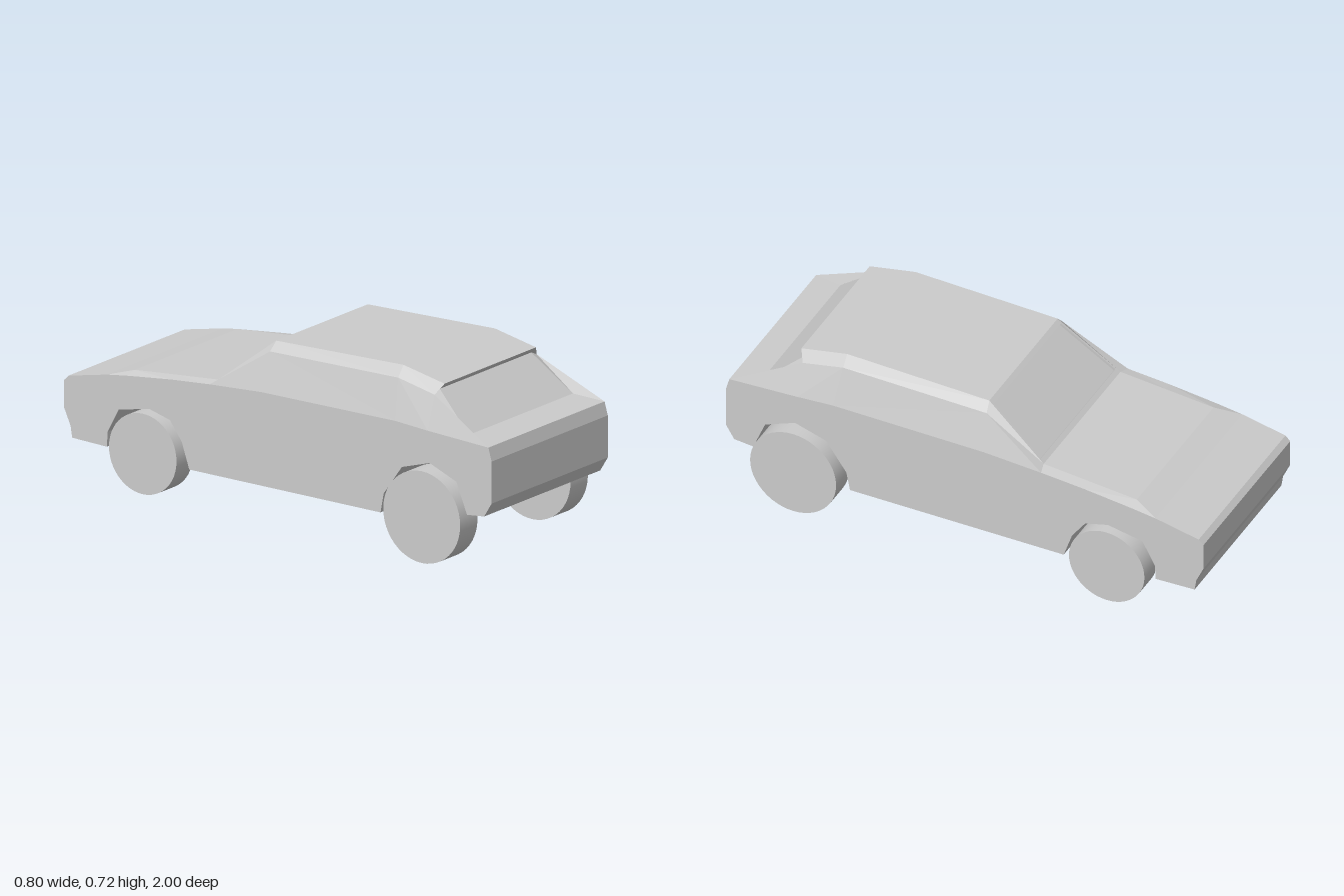
import * as THREE from 'three';

const HALF = 0.362; // half width of the body
const bodyMat = new THREE.MeshStandardMaterial({ color: 0xcccccc, flatShading: true, side: THREE.DoubleSide });
const wheelMat = new THREE.MeshStandardMaterial({ color: 0xcccccc });

const mirror = ([x, y, z]) => [-x, y, z];

// Flat panels between an upper and a lower path of points; optionally repeated on the other side
function strip(name, upper, lower, bothSides = false) {
  const verts = [];
  const same = (a, b) => a.every((v, i) => v === b[i]);
  const tri = (a, b, c) => {
    if (same(a, b) || same(b, c) || same(a, c)) return;
    verts.push(...a, ...b, ...c);
    if (bothSides) verts.push(...mirror(a), ...mirror(c), ...mirror(b));
  };
  for (let i = 0; i < upper.length - 1; i++) {
    tri(upper[i], upper[i + 1], lower[i + 1]);
    tri(upper[i], lower[i + 1], lower[i]);
  }
  const geo = new THREE.BufferGeometry();
  geo.setAttribute('position', new THREE.Float32BufferAttribute(verts, 3));
  geo.computeVertexNormals();
  const mesh = new THREE.Mesh(geo, bodyMat);
  mesh.name = name;
  return mesh;
}

// Panel running across the car, from a path on one side to its mirror image
const across = (name, path) => strip(name, path.map(mirror), path);

export function createModel() {
  const car = new THREE.Group();
  car.name = 'car';

  // Lower body: side profile (z, y) with both wheel arches, extruded across
  const profile = [
    [0.48, 0.148], [0.495, 0.225], [0.58, 0.345], [0.71, 0.385], [0.835, 0.335], [0.885, 0.215],
    [0.965, 0.223], [1, 0.28], [1, 0.445], [0.985, 0.497], [0.7, 0.51], [0.55, 0.52], [-0.08, 0.515],
    [-0.32, 0.5], [-0.5, 0.485], [-0.7, 0.462], [-0.8, 0.448], [-0.98, 0.41], [-1, 0.39], [-1, 0.28],
    [-0.97, 0.215], [-0.963, 0.17], [-0.8, 0.165], [-0.797, 0.225], [-0.745, 0.322], [-0.6, 0.35],
    [-0.505, 0.325], [-0.45, 0.25], [-0.415, 0.148],
  ];
  const shape = new THREE.Shape(profile.map(([z, y]) => new THREE.Vector2(z, y)));
  const lowerGeo = new THREE.ExtrudeGeometry(shape, { depth: 2 * HALF, bevelEnabled: false });
  lowerGeo.rotateY(-Math.PI / 2).translate(HALF, 0, 0);
  const lowerBody = new THREE.Mesh(lowerGeo, bodyMat);
  lowerBody.name = 'lowerBody';
  car.add(lowerBody);

  // Crowned hood with sloping shoulders
  const crown = [[HALF, 0.448, -0.8], [0.32, 0.475, -0.7], [0.32, 0.493, -0.5], [0.32, 0.51, -0.31]];
  const hoodEdge = [[HALF, 0.448, -0.8], [HALF, 0.462, -0.7], [HALF, 0.485, -0.5], [HALF, 0.5, -0.32]];
  car.add(across('hood', crown));
  car.add(strip('hoodShoulders', crown, hoodEdge, true));

  // Cabin: roof, chamfered roof rails and leaning sides
  const roof = [[0.285, 0.7, -0.065], [0.285, 0.717, 0.53], [0.285, 0.679, 0.722]];
  const rail = [[0.318, 0.665, -0.07], [0.318, 0.675, 0.53], [0.318, 0.64, 0.7]];
  const belt = [[HALF, 0.515, -0.08], [HALF, 0.52, 0.55], [HALF, 0.51, 0.7]];
  const cowl = hoodEdge[3];
  const tail = [HALF, 0.497, 0.985];
  car.add(across('roof', roof));
  car.add(strip('roofRails', roof, rail, true));
  car.add(strip('cabinSides', [cowl, ...rail, tail], [cowl, ...belt, tail], true));

  // Windshield: pillars, frame and slightly recessed glass
  const frame = [crown[3], roof[0]];
  const inner = [[0.311, 0.523, -0.293], [0.279, 0.687, -0.082]];
  const glass = inner.map(([x, y, z]) => [x, y - 0.008, z + 0.006]);
  car.add(strip('windshieldPillars', frame, [cowl, rail[0]], true));
  car.add(strip('windshieldFrameSides', inner, frame, true));
  car.add(strip('windshieldReveal', glass, inner, true));
  car.add(across('windshieldSill', [frame[0], inner[0], glass[0]]));
  car.add(across('windshield', glass));
  car.add(across('windshieldHeader', [glass[1], inner[1], frame[1]]));

  // Sunken rear window below the roof lip, flanked by sail panels
  const lip = [0.285, 0.669, 0.715];
  const rearTop = [0.285, 0.655, 0.7];
  const rearBase = [0.325, 0.515, 0.865];
  car.add(across('roofLip', [roof[2], lip, rearTop]));
  car.add(across('rearWindow', [rearTop, rearBase]));
  car.add(across('rearDeck', [rearBase, tail]));
  car.add(strip('sailPanels', [roof[2], rearTop, rearBase, tail], [rail[2], rail[2], rail[2], tail], true));

  // Wheels: the +z pair is larger
  const axles = [
    { name: 'rearWheel', z: 0.7, radius: 0.18, outer: 0.398 },
    { name: 'frontWheel', z: -0.61, radius: 0.158, outer: 0.392 },
  ];
  for (const { name, z, radius, outer } of axles) {
    const width = outer - 0.29;
    const geo = new THREE.CylinderGeometry(radius, radius, width, 48).rotateZ(Math.PI / 2);
    for (const side of [-1, 1]) {
      const wheel = new THREE.Mesh(geo, wheelMat);
      wheel.name = name;
      wheel.position.set(side * (outer - width / 2), 0.18, z);
      car.add(wheel);
    }
  }
  return car;
}
